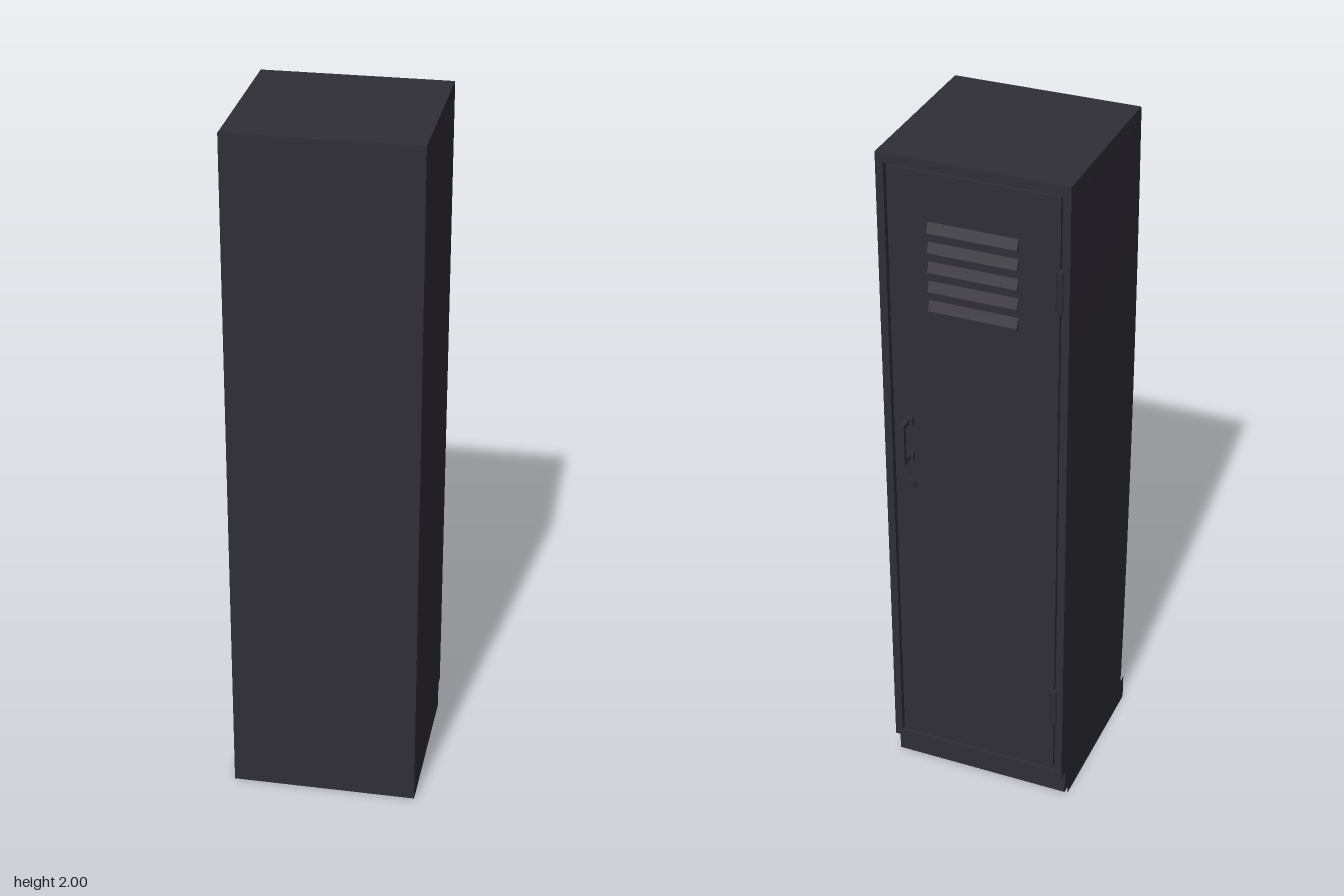
import * as THREE from 'three';

export function createModel() {
  const group = new THREE.Group();
  const mat = new THREE.MeshStandardMaterial({ color: 0x2f2d36 });

  function add(name, geometry, x = 0, y = 0, z = 0, parent = group) {
    const mesh = new THREE.Mesh(geometry, mat);
    mesh.name = name;
    mesh.position.set(x, y, z);
    parent.add(mesh);
    return mesh;
  }
  // Box given by its minimum and maximum corners
  function box(name, [x0, y0, z0], [x1, y1, z1], parent = group) {
    const g = new THREE.BoxGeometry(x1 - x0, y1 - y0, z1 - z0);
    return add(name, g, (x0 + x1) / 2, (y0 + y1) / 2, (z0 + z1) / 2, parent);
  }
  function rectangle(path, x0, y0, x1, y1) {
    path.moveTo(x0, y0).lineTo(x1, y0).lineTo(x1, y1).lineTo(x0, y1).closePath();
    return path;
  }
  function named(name) {
    const g = new THREE.Group();
    g.name = name;
    group.add(g);
    return g;
  }

  const L = -0.262, R = 0.271, BACK = 0.276, FACE = -0.235, DOOR = -0.231;

  // Cabinet body and set-back plinth
  box('cabinet', [L, 0.08, -0.205], [R, 2, BACK]);
  box('plinth', [L, 0, -0.205], [R, 0.08, BACK]);

  // Raised frame around the door opening
  const frame = rectangle(new THREE.Shape(), L, 0.08, R, 2);
  frame.holes.push(rectangle(new THREE.Path(), L + 0.022, 0.1, R - 0.022, 1.972));
  add('doorFrame', new THREE.ExtrudeGeometry(frame, { depth: -0.205 - FACE, bevelEnabled: false }), 0, 0, FACE);

  // Door with a narrow shadow gap on every side
  box('door', [L + 0.028, 0.106, DOOR], [R - 0.028, 1.964, -0.2]);

  // Thin outer sheets on the side, the tall one bowed slightly outwards
  const sheet = new THREE.PlaneGeometry(BACK - FACE, 1.92, 1, 8).rotateY(-Math.PI / 2);
  const p = sheet.attributes.position;
  for (let i = 0; i < p.count; i++) {
    const t = p.getY(i) / 0.96;
    p.setX(i, -0.006 * (1 - t * t));
  }
  sheet.computeVertexNormals();
  add('sideSheet', sheet, L - 0.001, 1.04, (BACK + FACE) / 2);
  add('plinthSheet', new THREE.PlaneGeometry(BACK + 0.205, 0.08).rotateY(-Math.PI / 2),
    -0.271, 0.04, (BACK - 0.205) / 2);

  // Five vent louvres, sloping outwards to their lower lip
  const vents = named('vents');
  const profile = new THREE.Shape();
  profile.moveTo(0, 0.017).lineTo(0.01, -0.012).lineTo(0.01, -0.017).lineTo(0, -0.017).closePath();
  const louvre = new THREE.ExtrudeGeometry(profile, { depth: 0.25, bevelEnabled: false });
  louvre.translate(0, 0, -0.125).rotateY(Math.PI / 2); // profile now points to -z
  for (let i = 0; i < 5; i++) add('louvre', louvre, 0.005, 1.81 - i * 0.057, DOOR, vents);

  // Hinge knuckles
  const knuckle = new THREE.CylinderGeometry(0.011, 0.011, 0.12, 12);
  for (const y of [0.34, 1.7]) add('hinge', knuckle, -0.235, y, -0.232);

  // Pull handle: two mounting plates, two posts and a grip
  const handle = named('handle');
  for (const y of [1.098, 1.212]) {
    box('handlePlate', [0.184, y - 0.012, -0.241], [0.216, y + 0.012, DOOR], handle);
    box('handlePost', [0.193, y - 0.007, -0.27], [0.207, y + 0.007, -0.24], handle);
  }
  box('handleGrip', [0.193, 1.091, -0.278], [0.207, 1.219, -0.266], handle);

  // Round lock with a raised key barrel
  const lock = named('lock');
  const disc = (r, d) => new THREE.CylinderGeometry(r, r, d, 20).rotateX(Math.PI / 2);
  add('lockRim', disc(0.018, 0.01), 0.2, 1.005, -0.236, lock);
  add('lockBarrel', disc(0.01, 0.004), 0.2, 1.005, -0.242, lock);

  return group;
}
